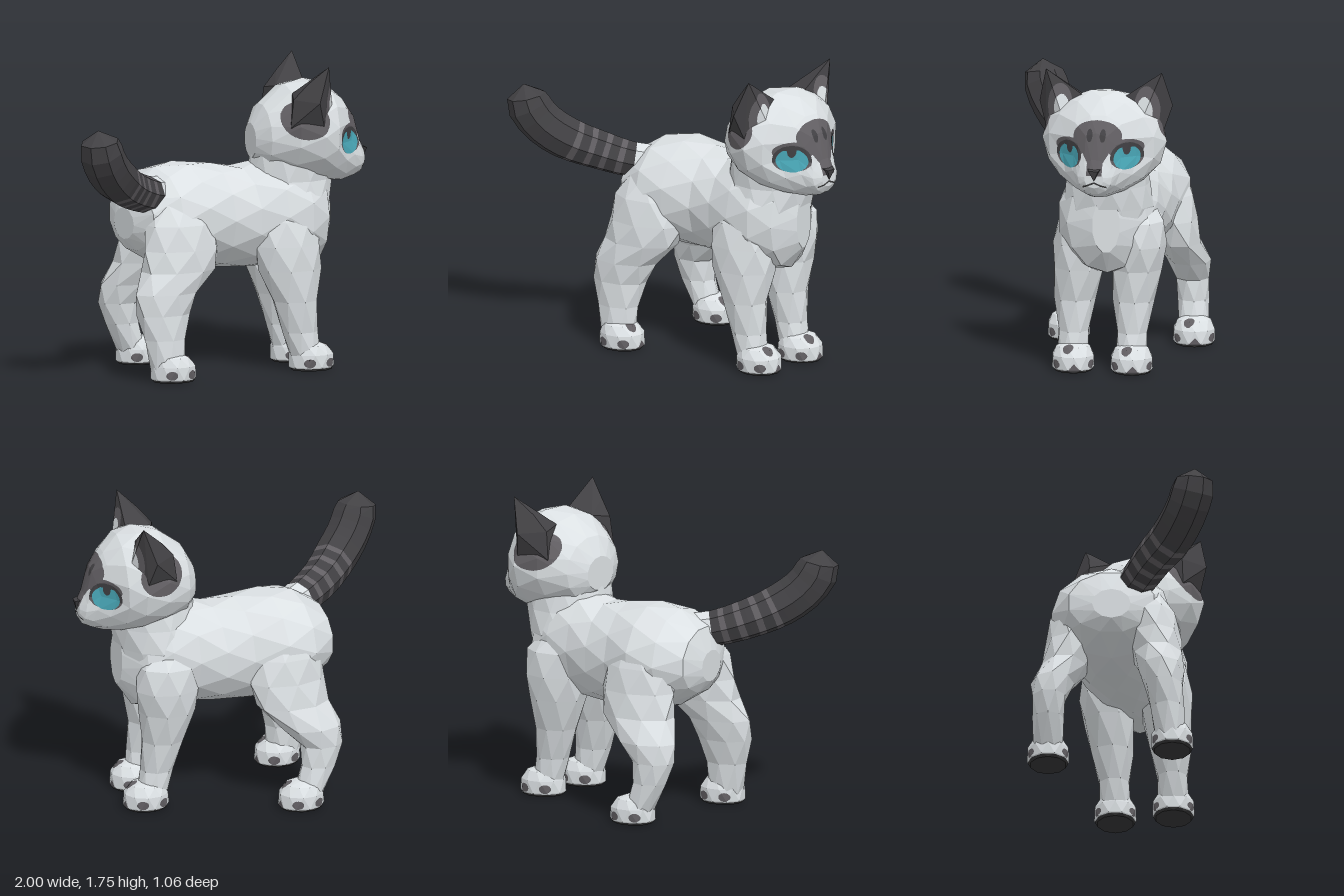
import * as THREE from 'three';
import { ConvexGeometry } from 'three/addons/geometries/ConvexGeometry.js';

const palette = { paleFur: 0xdbe0e3, greyFur: 0x625f63, darkFur: 0x424144, black: 0x373738, eyeTeal: 0x4aa9b9 };
const names = Object.keys(palette);

// Low-poly skin through elliptical rings [pos, c1, c2, r1, r2] stacked along x or y
function loft(rings, axis, n = 10) {
  const put = (p, u, v) => (axis === 'x' ? [p, u, v] : [u, p, v]);
  const pos = [], idx = [];
  rings.forEach(([p, c1, c2, r1, r2], i) => {
    for (let k = 0; k < n; k++) {
      const a = ((k + (i % 2) * 0.5) / n) * Math.PI * 2; // staggered rings
      pos.push(...put(p, c1 + r1 * Math.cos(a), c2 + r2 * Math.sin(a)));
    }
  });
  for (let i = 0; i < rings.length - 1; i++) {
    const odd = i % 2;
    for (let k = 0; k < n; k++) {
      const m = (k + 1) % n, a = i * n + k, b = i * n + m, c = a + n, d = b + n;
      if (odd) idx.push(a, b, d, a, d, c);
      else idx.push(a, b, c, b, d, c);
    }
  }
  [0, rings.length - 1].forEach((r, e) => {
    const [p, c1, c2] = rings[r];
    const c = pos.length / 3;
    pos.push(...put(p, c1, c2));
    for (let k = 0; k < n; k++) {
      const a = r * n + k, b = r * n + ((k + 1) % n);
      if (e) idx.push(a, b, c); else idx.push(b, a, c);
    }
  });
  // turn the faces outward when the enclosed volume comes out negative
  const v = (i) => new THREE.Vector3().fromArray(pos, i * 3);
  let vol = 0;
  for (let i = 0; i < idx.length; i += 3) vol += v(idx[i]).dot(v(idx[i + 1]).cross(v(idx[i + 2])));
  if (vol < 0) idx.reverse();
  const g = new THREE.BufferGeometry();
  g.setAttribute('position', new THREE.Float32BufferAttribute(pos, 3));
  g.setIndex(idx);
  return g;
}

// Splits flat facets along colour borders and sorts the pieces into material groups
function paint(geo, rule) {
  const src = (geo.index ? geo.toNonIndexed() : geo).getAttribute('position');
  const buckets = names.map(() => []);
  const mid = (a, b) => a.clone().add(b).multiplyScalar(0.5);
  const split = (a, b, c, depth) => {
    const ab = mid(a, b), bc = mid(b, c), ca = mid(c, a);
    const centre = a.clone().add(b).add(c).divideScalar(3);
    const hue = rule(centre);
    const mixed = [a, b, c, ab, bc, ca].some((p) => rule(p) !== hue);
    if (depth < 2 || (mixed && depth < 6)) {
      split(a, ab, ca, depth + 1); split(ab, b, bc, depth + 1);
      split(ca, bc, c, depth + 1); split(ab, bc, ca, depth + 1);
    } else buckets[names.indexOf(hue)].push(...a.toArray(), ...b.toArray(), ...c.toArray());
  };
  const v = (i) => new THREE.Vector3().fromBufferAttribute(src, i);
  for (let i = 0; i < src.count; i += 3) split(v(i), v(i + 1), v(i + 2), 0);
  const g = new THREE.BufferGeometry();
  g.setAttribute('position', new THREE.Float32BufferAttribute(buckets.flat(), 3));
  let start = 0;
  buckets.forEach((b, i) => {
    if (b.length) g.addGroup(start, b.length / 3, i);
    start += b.length / 3;
  });
  g.computeVertexNormals();
  return g;
}

const inside = (u, v, cu, cv, ru, rv) => ((u - cu) / ru) ** 2 + ((v - cv) / rv) ** 2 < 1;

// Face mask, eyes, mouth and ear patches, in head space with the face toward +x
function headPaint({ x, y, z }) {
  const w = Math.abs(z);
  if (x > 0.06) {
    if (y < 0.018 && inside(w, y, 0.168, -0.04, 0.066, 0.068)) {
      return inside(w, y, 0.165, 0.015, 0.02, 0.04) ? 'darkFur' : 'eyeTeal';
    }
    if (inside(w, y, 0.168, -0.03, 0.084, 0.076)) return y > -0.05 ? 'darkFur' : 'greyFur';
    if (x > 0.25 && w < 0.07 && Math.abs(y + 0.17 + 0.4 * w) < 0.005) return 'black';
    if (inside(w, y, 0.038, 0.09, 0.017, 0.036)) return 'darkFur';
    if (inside(w, y, 0, 0.08, 0.14, 0.09)) return 'greyFur';
    if (inside(w, y, 0.16, 0.015, 0.095, 0.05)) return 'greyFur';
    if (y < 0.09 && y > -0.13 && w < 0.045 + Math.max(0, y + 0.06) * 0.6) return 'greyFur';
  }
  if (w > 0.12 && inside(x, y, -0.06, 0.11, 0.13, 0.105)) return 'greyFur';
  return 'paleFur';
}

function earPaint({ x, y, z }) {
  const w = Math.abs(z);
  if (x > 0.045 && inside(w, y, 0.24, 0.2, 0.045, 0.08)) return 'paleFur';
  if (x > 0.05 && inside(w, y, 0.25, 0.2, 0.075, 0.14)) return 'greyFur';
  return 'darkFur';
}

function pawPaint({ x, y, z }) {
  if (y < 0.014) return 'black';
  if (x > 0.05 && y < 0.055 - Math.abs(z) * 1.1) return 'greyFur';
  if (inside(Math.abs(x), y, 0.065, 0.045, 0.03, 0.025) && Math.abs(z) > 0.07) return 'greyFur';
  if (y > 0.08 && inside(x, z, 0.075, 0.03, 0.03, 0.03)) return 'greyFur';
  return 'paleFur';
}

export function createModel() {
  const mats = names.map((n) => {
    const m = new THREE.MeshStandardMaterial({ color: palette[n] });
    m.name = n;
    return m;
  });
  const cat = new THREE.Group();
  cat.name = 'cat';
  const add = (parent, name, geo, rule = () => 'paleFur') => {
    const mesh = new THREE.Mesh(paint(geo, rule), mats);
    mesh.name = name;
    parent.add(mesh);
    return mesh;
  };

  // Torso from rump to chest, and neck
  add(cat, 'torso', loft([
    [-0.45, 0.87, -0.05, 0.09, 0.11], [-0.4, 0.9, -0.05, 0.19, 0.25], [-0.25, 0.9, -0.05, 0.28, 0.34],
    [-0.08, 0.89, -0.05, 0.31, 0.35], [0.1, 0.88, -0.02, 0.3, 0.3], [0.25, 0.87, 0.02, 0.29, 0.3],
    [0.4, 0.89, 0.07, 0.31, 0.3], [0.55, 0.88, 0.1, 0.32, 0.29], [0.68, 0.87, 0.11, 0.29, 0.23],
    [0.77, 0.87, 0.12, 0.16, 0.08],
  ], 'x', 12));
  add(cat, 'neck', loft([
    [0.78, 0.55, 0.1, 0.2, 0.2], [0.95, 0.54, 0.1, 0.235, 0.265], [1.08, 0.55, 0.1, 0.25, 0.24],
    [1.25, 0.57, 0.115, 0.25, 0.23],
  ], 'y', 12));

  // Legs as rings [y, x, z, rx, rz], each with its paw position [x, z]
  const legs = {
    leftFrontLeg: [[0.58, 0.3], [[0.98, 0.43, 0.22, 0.11, 0.1], [0.86, 0.45, 0.24, 0.19, 0.14],
      [0.72, 0.45, 0.255, 0.205, 0.155], [0.58, 0.46, 0.265, 0.19, 0.15], [0.4, 0.48, 0.285, 0.135, 0.12],
      [0.22, 0.51, 0.295, 0.105, 0.09], [0.08, 0.54, 0.3, 0.09, 0.09]]],
    rightFrontLeg: [[0.655, -0.03], [[0.98, 0.5, -0.02, 0.12, 0.13], [0.86, 0.53, -0.07, 0.19, 0.155],
      [0.72, 0.54, -0.075, 0.195, 0.16], [0.58, 0.54, -0.065, 0.165, 0.15], [0.4, 0.56, -0.045, 0.125, 0.12],
      [0.22, 0.59, -0.035, 0.095, 0.09], [0.08, 0.62, -0.03, 0.09, 0.09]]],
    leftHindLeg: [[-0.33, 0.295], [[1.0, -0.22, 0.14, 0.14, 0.11], [0.88, -0.22, 0.18, 0.21, 0.14],
      [0.74, -0.22, 0.2, 0.24, 0.15], [0.62, -0.25, 0.215, 0.23, 0.145], [0.5, -0.34, 0.235, 0.2, 0.13],
      [0.38, -0.37, 0.25, 0.165, 0.11], [0.24, -0.37, 0.27, 0.13, 0.095], [0.06, -0.36, 0.285, 0.1, 0.09]]],
    rightHindLeg: [[-0.14, -0.41], [[1.0, -0.14, -0.25, 0.14, 0.11], [0.88, -0.12, -0.275, 0.2, 0.135],
      [0.74, -0.11, -0.29, 0.23, 0.14], [0.6, -0.13, -0.32, 0.22, 0.135], [0.47, -0.22, -0.385, 0.18, 0.125],
      [0.36, -0.27, -0.405, 0.125, 0.1], [0.24, -0.25, -0.41, 0.105, 0.09], [0.06, -0.18, -0.41, 0.08, 0.09]]],
  };
  for (const [name, [[x, z], rings]] of Object.entries(legs)) {
    add(cat, name, loft(rings, 'y', 8));
    const paw = add(cat, name.replace('Leg', 'Paw'), loft([
      [0, 0, 0, 0.12, 0.105], [0.02, 0, 0, 0.135, 0.12], [0.09, 0, 0, 0.13, 0.122],
      [0.14, -0.01, 0, 0.1, 0.095], [0.16, -0.02, 0, 0.05, 0.05],
    ], 'y', 10), pawPaint);
    paw.position.set(x, 0, z);
  }

  // Head turned a little to its left
  const head = new THREE.Group();
  head.name = 'head';
  head.position.set(0.62, 1.33, 0.115);
  head.rotation.y = -0.22;
  cat.add(head);
  const skull = loft([
    [-0.3, -0.03, 0, 0.1, 0.11], [-0.24, -0.01, 0, 0.19, 0.22], [-0.1, 0.02, 0, 0.265, 0.325],
    [0.04, 0.02, 0, 0.29, 0.36], [0.14, 0, 0, 0.28, 0.31], [0.23, -0.04, 0, 0.24, 0.215],
    [0.3, -0.08, 0, 0.185, 0.14], [0.345, -0.14, 0, 0.1, 0.1], [0.37, -0.15, 0, 0.05, 0.055],
  ], 'x', 14);
  // press shallow eye sockets into the face
  const sp = skull.getAttribute('position');
  for (let i = 0; i < sp.count; i++) {
    if (sp.getX(i) < 0.1) continue;
    const d2 = (Math.abs(sp.getZ(i)) - 0.18) ** 2 + (sp.getY(i) + 0.035) ** 2;
    sp.setX(i, sp.getX(i) - 0.05 * Math.exp(-d2 / 0.009));
  }
  add(head, 'skull', skull, headPaint);
  const hull = (pts) => new ConvexGeometry(pts.map((p) => new THREE.Vector3(...p)));
  add(head, 'nose', hull([
    [0.32, -0.08, 0.05], [0.32, -0.08, -0.05], [0.389, -0.1, 0.028], [0.389, -0.1, -0.028],
    [0.374, -0.16, 0], [0.3, -0.14, 0],
  ]), () => 'darkFur');
  for (const s of [1, -1]) {
    add(head, s > 0 ? 'leftEar' : 'rightEar', hull([
      [0.06, 0.26, s * 0.1], [0.11, 0.18, s * 0.24], [0.03, 0.08, s * 0.34], [-0.01, 0.22, s * 0.385],
      [-0.15, 0.07, s * 0.28], [-0.13, 0.23, s * 0.27], [-0.1, 0.25, s * 0.15], [-0.05, 0.32, s * 0.29],
      [0.06, 0.42, s * 0.335],
    ]), earPaint);
  }

  // Tail: a tube with swelling radius and a rounded tip, banded near the root
  const curve = new THREE.CatmullRomCurve3([
    [-0.26, 1.04, 0.03], [-0.38, 1.05, 0.1], [-0.55, 1.105, 0.19], [-0.7, 1.18, 0.3],
    [-0.81, 1.27, 0.37], [-0.875, 1.37, 0.41], [-0.905, 1.5, 0.425],
  ].map((p) => new THREE.Vector3(...p)));
  const steps = 14;
  const tube = new THREE.TubeGeometry(curve, steps, 0.122, 8);
  const tp = tube.getAttribute('position');
  for (let i = 0; i < tp.count; i++) {
    const t = Math.floor(i / 9) / steps, c = curve.getPointAt(t);
    const swell = (0.8 + 0.24 * Math.min(1, t * 1.7)) * Math.sqrt(1 - Math.max(0, (t - 0.86) / 0.14) ** 2);
    const p = new THREE.Vector3().fromBufferAttribute(tp, i).sub(c).multiplyScalar(swell).add(c);
    tp.setXYZ(i, p.x, p.y, p.z);
  }
  const spine = curve.getSpacedPoints(80);
  add(cat, 'tail', tube, (p) => {
    let best = 0;
    spine.forEach((q, i) => { if (q.distanceToSquared(p) < spine[best].distanceToSquared(p)) best = i; });
    const t = best / 80;
    if (t < 0.13) return 'paleFur';
    return t < 0.6 && (t - 0.13) % 0.1 > 0.065 ? 'greyFur' : 'darkFur';
  });
  return cat;
}
